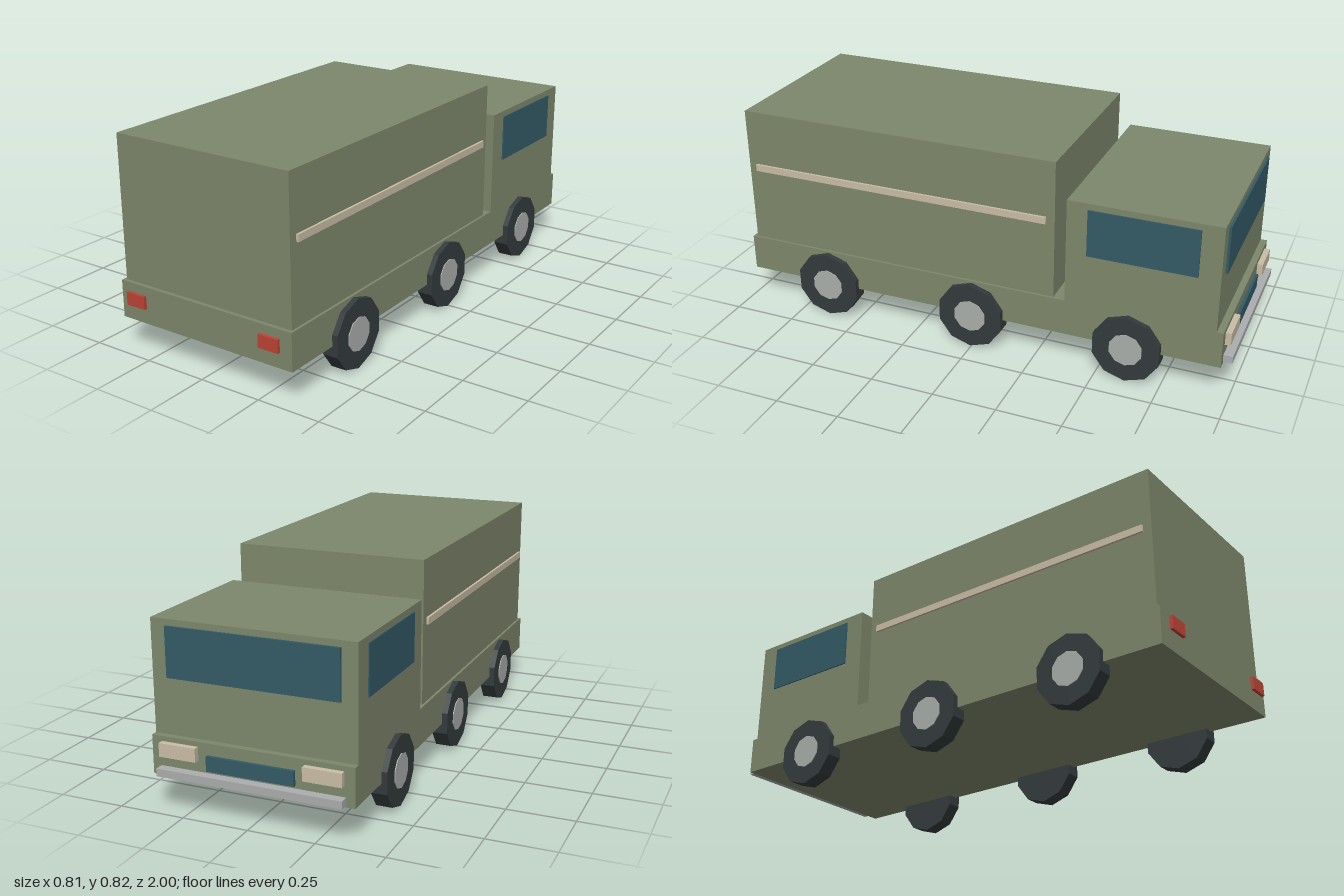
import * as THREE from 'three';

const mat = (name, color) => {
  const m = new THREE.MeshStandardMaterial({ color });
  m.name = name;
  return m;
};

export function createModel() {
  const green = mat('olive green', 0x7d876b);
  const glass = mat('dark blue glass', 0x335a66);
  const cream = mat('cream', 0xc9bda5);
  const red = mat('red', 0xbd4434);
  const rubber = mat('dark rubber', 0x343b3d);
  const hubGrey = mat('hub grey', 0xa9aeab);
  const chrome = mat('bumper grey', 0xabadae);
  rubber.flatShading = true;
  hubGrey.flatShading = true;

  const truck = new THREE.Group();
  truck.name = 'truck';

  // Box given by its lower and upper limits on each axis
  const box = (name, material, [x0, x1], [y0, y1], [z0, z1]) => {
    const mesh = new THREE.Mesh(new THREE.BoxGeometry(x1 - x0, y1 - y0, z1 - z0), material);
    mesh.position.set((x0 + x1) / 2, (y0 + y1) / 2, (z0 + z1) / 2);
    mesh.name = name;
    truck.add(mesh);
  };
  // The same box on both sides
  const pair = (name, material, [x0, x1], y, z) => {
    box(name + 'Left', material, [x0, x1], y, z);
    box(name + 'Right', material, [-x1, -x0], y, z);
  };

  // Body; the cab is at the -z end
  box('chassis', green, [-0.38, 0.38], [0.125, 0.268], [-0.965, 0.978]);
  box('cargoBox', green, [-0.37, 0.37], [0.268, 0.813], [-0.323, 0.963]);
  box('cab', green, [-0.38, 0.38], [0.268, 0.68], [-0.94, -0.37]);

  // Windows and side stripes
  box('windshield', glass, [-0.322, 0.322], [0.475, 0.657], [-0.949, -0.94]);
  pair('sideWindow', glass, [0.38, 0.385], [0.473, 0.656], [-0.86, -0.45]);
  pair('sideStripe', cream, [0.37, 0.379], [0.567, 0.594], [-0.29, 0.93]);

  // Cab end: grille, headlights, bumper
  box('grille', glass, [-0.165, 0.165], [0.17, 0.225], [-0.977, -0.965]);
  pair('headlight', cream, [0.2, 0.342], [0.2, 0.25], [-0.987, -0.965]);
  box('bumper', chrome, [-0.348, 0.348], [0.132, 0.16], [-1, -0.965]);

  // Tail lights
  pair('tailLight', red, [0.255, 0.338], [0.19, 0.24], [0.988, 1]);

  // Three axles of ten-sided wheels with round hubs
  const tireGeo = new THREE.CylinderGeometry(0.134, 0.134, 0.061, 10);
  const hubGeo = new THREE.CylinderGeometry(0.065, 0.065, 0.064, 10);
  for (const g of [tireGeo, hubGeo]) g.rotateY(Math.PI / 2).rotateZ(Math.PI / 2);
  for (const z of [0.627, 0.005, -0.617]) {
    for (const side of [1, -1]) {
      const wheel = new THREE.Group();
      wheel.name = 'wheel';
      const tire = new THREE.Mesh(tireGeo, rubber);
      tire.name = 'tire';
      const hub = new THREE.Mesh(hubGeo, hubGrey);
      hub.name = 'hub';
      hub.position.x = side * 0.002;
      wheel.add(tire, hub);
      wheel.position.set(side * 0.3715, 0.1275, z);
      truck.add(wheel);
    }
  }
  return truck;
}
